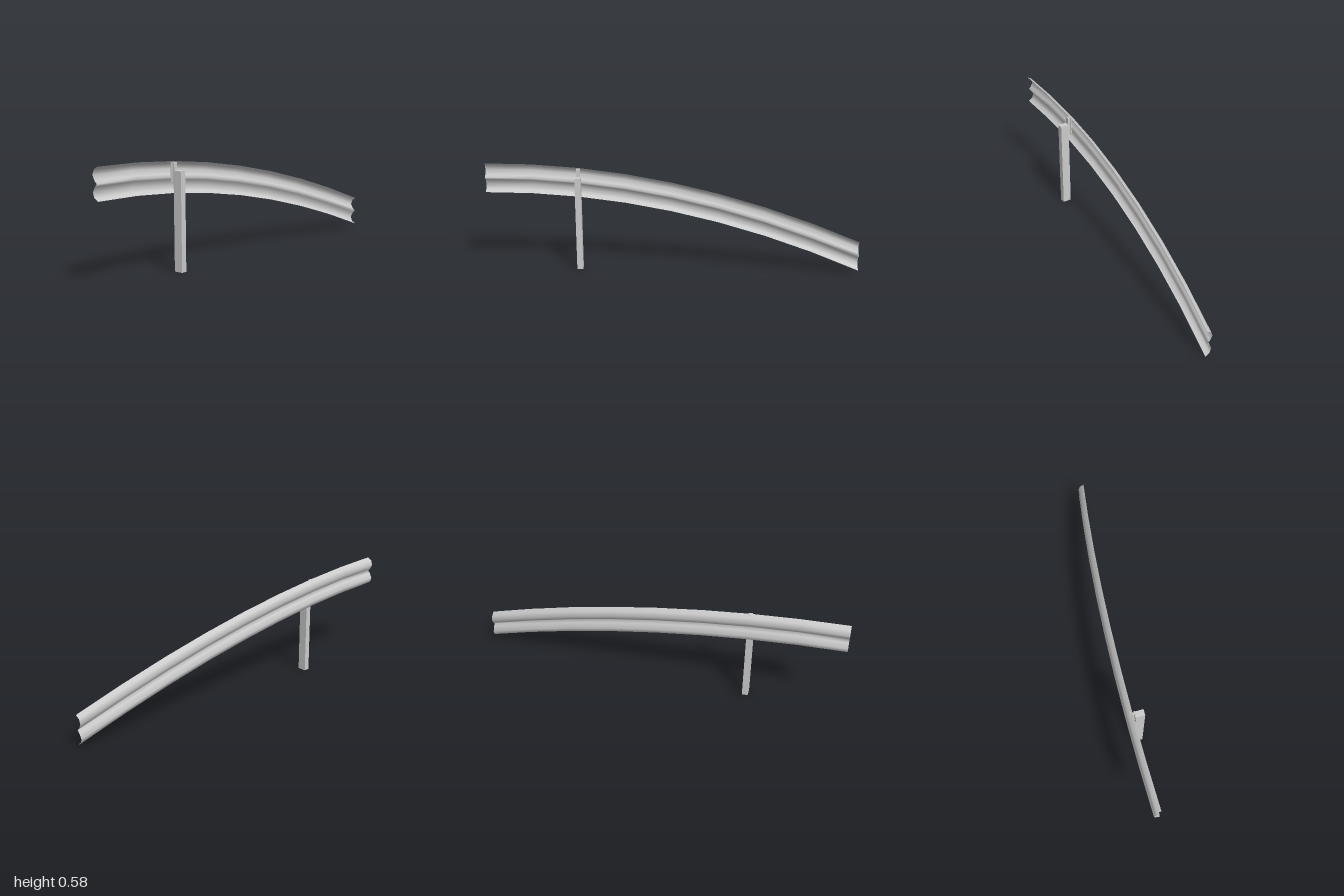
import * as THREE from 'three';

const material = new THREE.MeshStandardMaterial({ color: 0xcccccc, side: THREE.DoubleSide });

// Box given by its limits on each axis
function box(name, [x0, x1], [y0, y1], [z0, z1]) {
  const mesh = new THREE.Mesh(new THREE.BoxGeometry(x1 - x0, y1 - y0, z1 - z0), material);
  mesh.position.set((x0 + x1) / 2, (y0 + y1) / 2, (z0 + z1) / 2);
  mesh.name = name;
  return mesh;
}

// Double-wave sheet swept along a parabola that falls and bends to the left
function createRail() {
  const upper = [[0, 0.08], [-0.023, 0.066], [-0.032, 0.04], [-0.018, 0.013]];
  const lower = upper.map(([x, y]) => [x, -y]).reverse();
  const profile = [...upper, [-0.005, 0], ...lower];
  const segments = 8, n = profile.length;
  const positions = [], indices = [];
  for (let i = 0; i <= segments; i++) {
    const t = i / segments;
    for (const [x, y] of profile) {
      positions.push(-0.073 + 0.175 * t * t + x, 0.5 - 0.4 * t * t + y, 1 - 2 * t);
    }
  }
  for (let i = 0; i < segments; i++) {
    for (let j = 0; j < n - 1; j++) {
      const a = i * n + j, b = a + n;
      indices.push(a, b, a + 1, b, b + 1, a + 1);
    }
  }
  const geometry = new THREE.BufferGeometry();
  geometry.setAttribute('position', new THREE.Float32BufferAttribute(positions, 3));
  geometry.setIndex(indices);
  geometry.computeVertexNormals();
  const mesh = new THREE.Mesh(geometry, material);
  mesh.name = 'guardRail';
  return mesh;
}

export function createModel() {
  const model = new THREE.Group();
  model.name = 'roadBarrier';
  model.add(createRail());
  model.add(box('post', [-0.048, 0], [0, 0.51], [0.484, 0.516]));

  // I-shaped spacer between the post and the rail
  const spacer = new THREE.Group();
  spacer.name = 'spacer';
  spacer.add(
    box('railFlange', [-0.072, -0.066], [0.45, 0.55], [0.49, 0.51]),
    box('web', [-0.066, -0.054], [0.45, 0.55], [0.496, 0.504]),
    box('postFlange', [-0.054, -0.048], [0.45, 0.55], [0.49, 0.51])
  );
  model.add(spacer);
  return model;
}
